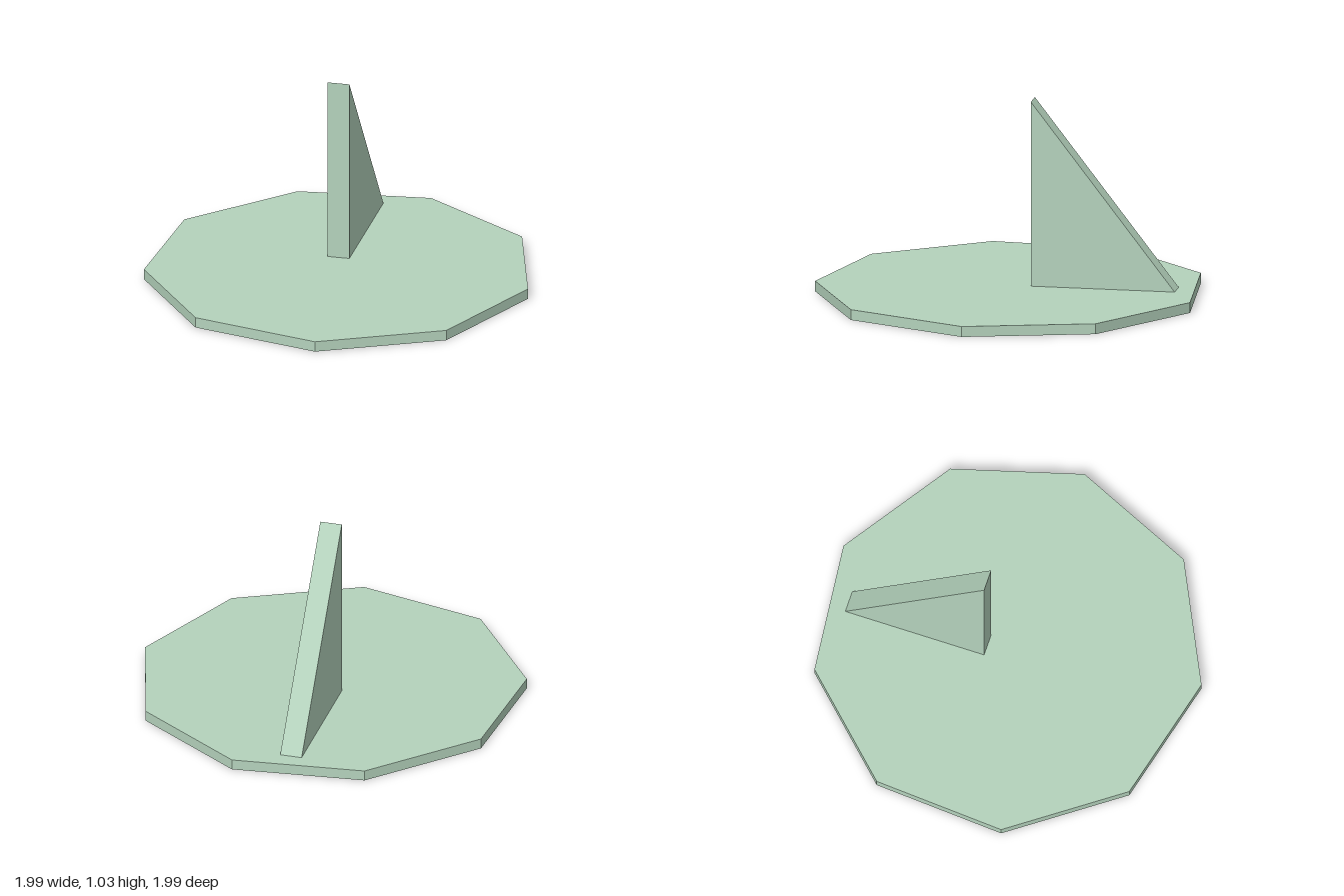
import * as THREE from 'three';

const PLATE_HEIGHT = 0.055;

export function createModel() {
  const model = new THREE.Group();
  model.name = 'sundial';
  const material = new THREE.MeshStandardMaterial({ color: 0xb4d2bc, flatShading: true });

  // nine-sided dial plate
  const plate = new THREE.Mesh(new THREE.CylinderGeometry(1.015, 1.015, PLATE_HEIGHT, 9), material);
  plate.name = 'dialPlate';
  plate.position.set(-0.023, PLATE_HEIGHT / 2, 0.009);
  plate.rotation.y = THREE.MathUtils.degToRad(13.9);
  model.add(plate);

  // triangular gnomon: upright front edge, sloping down toward the back
  const length = 0.755, height = 0.975, thickness = 0.115;
  const profile = new THREE.Shape([
    new THREE.Vector2(0, 0),
    new THREE.Vector2(length, 0),
    new THREE.Vector2(0, height),
  ]);
  const wedge = new THREE.ExtrudeGeometry(profile, { depth: thickness, bevelEnabled: false });
  wedge.translate(0, 0, -thickness / 2);
  const gnomon = new THREE.Mesh(wedge, material);
  gnomon.name = 'gnomon';
  gnomon.position.set(-0.073, PLATE_HEIGHT, -0.092);
  gnomon.rotation.y = THREE.MathUtils.degToRad(97.9);
  model.add(gnomon);

  return model;
}
